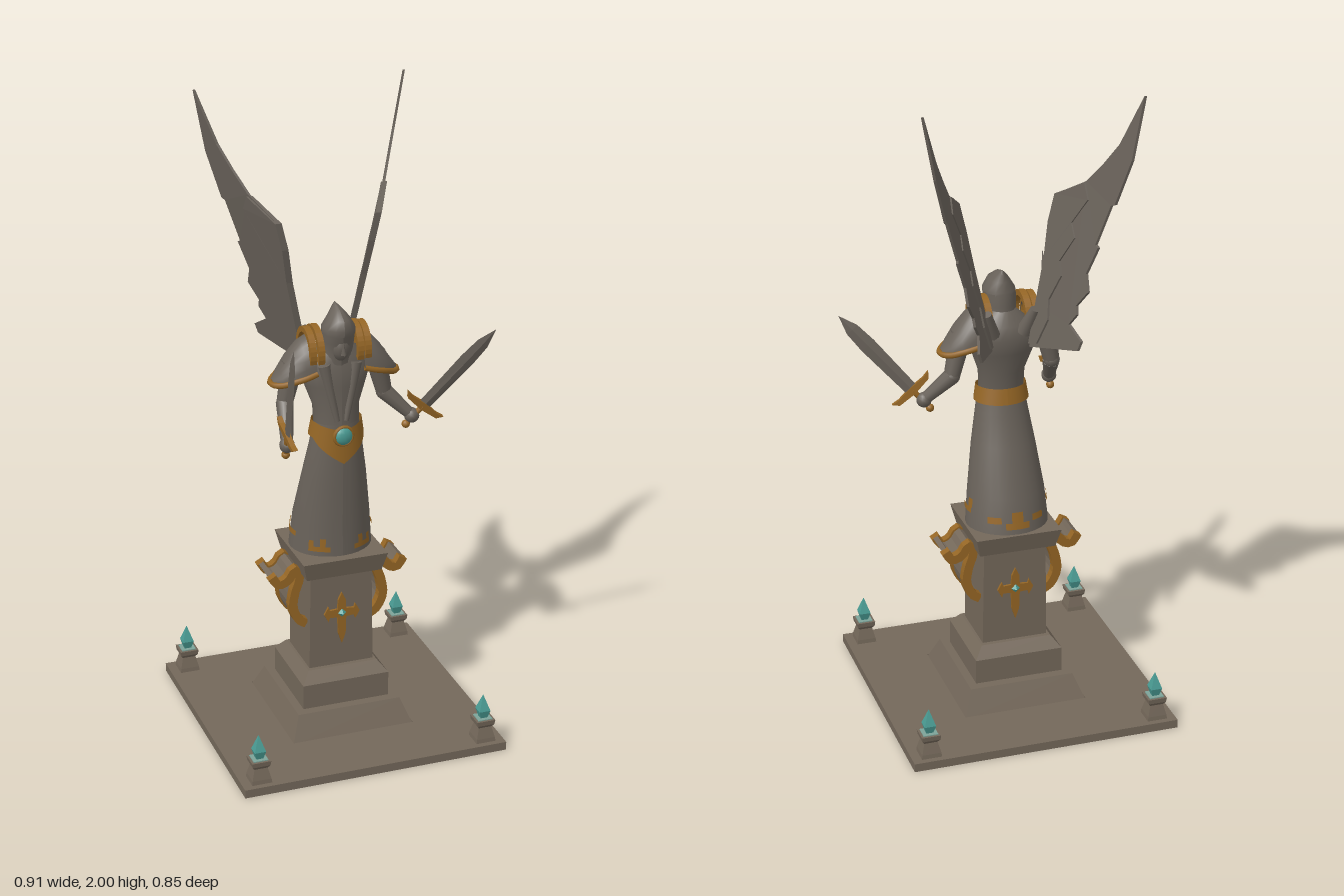
import * as THREE from 'three';

const mat = (name, color) => {
  const m = new THREE.MeshStandardMaterial({ color, side: THREE.DoubleSide });
  m.name = name;
  return m;
};
const V = (x, y, z) => new THREE.Vector3(x, y, z);

// surface from a rule: u runs right, v runs up when seen from outside
function grid(nu, nv, fn, flat = false) {
  const pos = [], idx = [];
  for (let j = 0; j <= nv; j++) for (let i = 0; i <= nu; i++) pos.push(...fn(i / nu, j / nv));
  for (let j = 0; j < nv; j++) for (let i = 0; i < nu; i++) {
    const a = j * (nu + 1) + i, b = a + nu + 1;
    idx.push(a, a + 1, b + 1, a, b + 1, b);
  }
  let g = new THREE.BufferGeometry();
  g.setAttribute('position', new THREE.Float32BufferAttribute(pos, 3));
  g.setIndex(idx);
  if (flat) g = g.toNonIndexed();
  g.computeVertexNormals();
  return g;
}
// rings are [y, centre z, radius x, radius z]
function ringPoint(rings, a, y, grow = 0) {
  let k = 0;
  while (k < rings.length - 2 && y > rings[k + 1][0]) k++;
  const p = rings[k], q = rings[k + 1], t = (y - p[0]) / (q[0] - p[0]);
  const r = p.map((n, i) => n + (q[i] - n) * t);
  return [(r[2] + grow) * Math.sin(a), y, r[1] + (r[3] + grow) * Math.cos(a)];
}
const loft = (rings, n, flat = false, turn = 0) => grid(n, rings.length - 1, (u, v) => {
  const [y, cz, rx, rz] = rings[Math.round(v * (rings.length - 1))];
  const a = u * Math.PI * 2 + turn;
  return [rx * Math.sin(a), y, cz + rz * Math.cos(a)];
}, flat);
// square section tower, rings are [y, half x, half z]
const tower = rings => loft(rings.map(([y, x, z]) => [y, 0, x * Math.SQRT2, z * Math.SQRT2]), 4, true, Math.PI / 4);
const poly = pts => new THREE.Shape(pts.map(p => new THREE.Vector2(...p)));
const extrude = (shape, depth) => new THREE.ExtrudeGeometry(shape, { depth, bevelEnabled: false, curveSegments: 10 });

export function createModel() {
  const stone = mat('pedestal stone', 0x74685a), body = mat('statue stone', 0x69625a);
  const gold = mat('gold', 0x956625), teal = mat('teal crystal', 0x4a9c94), pale = mat('pale teal', 0x7da399);
  const root = new THREE.Group();
  root.name = 'wingedStatue';
  const all = new THREE.Group();
  all.name = 'monument';
  all.position.x = -0.037;
  root.add(all);
  const add = (name, geo, m, parent = all) => {
    const mesh = new THREE.Mesh(geo, m);
    mesh.name = name;
    parent.add(mesh);
    return mesh;
  };
  const limb = (name, a, b, ra, rb, m = body, parent = all) => {
    const d = b.clone().sub(a), mesh = add(name, new THREE.CylinderGeometry(rb, ra, d.length(), 10), m, parent);
    mesh.position.copy(a).addScaledVector(d, 0.5);
    mesh.quaternion.setFromUnitVectors(V(0, 1, 0), d.normalize());
    return mesh;
  };
  const ball = (name, p, r, m, sx = 1, sy = 1, sz = 1, parent = all) => {
    const mesh = add(name, new THREE.SphereGeometry(r, 12, 8), m, parent);
    mesh.position.copy(p);
    mesh.scale.set(sx, sy, sz);
    return mesh;
  };

  // base slab, open under the hollow pedestal
  const slab = poly([[-.425, -.425], [.425, -.425], [.425, .425], [-.425, .425]]);
  slab.holes.push(poly([[-.198, -.21], [-.198, .21], [.198, .21], [.198, -.21]]));
  add('baseSlab', extrude(slab, .027).rotateX(-Math.PI / 2), stone);
  add('pedestal', tower([[.02, .198, .21], [.1, .167, .17], [.1, .141, .14], [.18, .141, .14], [.215, .113, .11],
    [.215, .105, .095], [.53, .1, .095], [.535, .122, .125], [.595, .137, .14], [.595, 0, 0]]), stone);

  // corner lamps
  for (const x of [-.365, .365]) for (const z of [-.375, .375]) {
    const lamp = new THREE.Group();
    lamp.name = 'cornerLamp';
    lamp.position.set(x, 0, z);
    all.add(lamp);
    add('lampStand', tower([[.025, .032, .032], [.04, .03, .03], [.075, .021, .021], [.085, .028, .028], [.1, .03, .03], [.1, 0, 0]]), stone, lamp);
    add('lampDish', new THREE.BoxGeometry(.046, .006, .046), pale, lamp).position.y = .1;
    add('lampFlame', tower([[.1, .01, .01], [.128, .018, .018], [.18, 0, 0]]), teal, lamp);
  }

  // crosses on the column front and back
  for (const s of [1, -1]) {
    const cross = new THREE.Group();
    cross.name = 'columnCross';
    cross.position.set(0, .395, .097 * s);
    all.add(cross);
    const q = [[.014, .014], [.04, .012], [.044, .026], [.058, 0], [.044, -.026], [.04, -.012], [.014, -.014],
      [.012, -.07], [0, -.105], [-.012, -.07], [-.014, -.014], [-.04, -.012], [-.044, -.026], [-.058, 0],
      [-.044, .026], [-.04, .012], [-.014, .014], [-.012, .045], [0, .07], [.012, .045]];
    add('crossPlate', extrude(poly(q), .012).translate(0, 0, -.006), gold, cross);
    const gem = add('crossGem', new THREE.OctahedronGeometry(.014), teal, cross);
    gem.position.z = .006 * s;
  }

  // curled brackets on the column sides
  const path = new THREE.CatmullRomCurve3([V(.215, .535, 0), V(.195, .507, 0), V(.165, .515, 0), V(.14, .548, 0), V(.125, .53, 0),
    V(.142, .47, 0), V(.148, .42, 0), V(.128, .375, 0), V(.105, .36, 0)]).getPoints(18);
  const ribbon = w => {
    const side = k => path.map((p, i) => {
      const t = path[Math.min(i + 1, 18)].clone().sub(path[Math.max(i - 1, 0)]).normalize();
      return [p.x - t.y * k, p.y + t.x * k];
    });
    return poly([...side(w), ...side(-w).reverse()]);
  };
  const halves = [1, -1].map(s => {
    const g = new THREE.Group();
    g.name = s > 0 ? 'leftHalf' : 'rightHalf';
    g.scale.x = s;
    all.add(g);
    return g;
  });
  for (const h of halves) {
    for (const z of [-.07, .043]) add('bracketScroll', extrude(ribbon(.014), .027).translate(0, 0, z), gold, h);
    add('bracketCore', extrude(ribbon(.008), .09).translate(0, 0, -.045), stone, h);
  }

  // robe with gold hem pieces
  const robe = [[.595, -.01, .13, .12], [.7, .0, .121, .108], [.85, .028, .1, .083], [.95, .043, .083, .068], [1.03, .05, .07, .058]];
  add('robe', loft(robe, 28), body);
  const hem = (a0, a1, y0, y1) => add('hemTrim', grid(6, 1, (u, v) =>
    ringPoint(robe, a0 + (a1 - a0) * u, y0 + (y1 - y0) * v, .004)), gold);
  for (const s of [1, -1]) {
    hem(s * .3, s * .85, .612, .628);
    hem(s * .42, s * .56, .628, .655);
    hem(s * .72, s * .85, .628, .648);
    hem(s * 1.3, s * 1.85, .645, .662);
    hem(s * 1.72, s * 1.9, .662, .69);
    hem(s * 2.4, s * 2.75, .63, .65);
  }
  hem(2.85, 3.43, .612, .632);
  hem(3.0, 3.28, .632, .665);

  // belt dipping to a point in front, with a gem
  add('belt', grid(40, 1, (u, v) => {
    const a = (u - .5) * Math.PI * 2, dip = Math.max(0, 1 - Math.abs(a) / 1.25);
    return ringPoint(robe, a, v ? 1.035 - .02 * dip : .985 - .078 * dip, .009);
  }), gold);
  ball('beltGem', V(0, .997, .118), .028, teal, 1, 1, .5);
  const rim = add('gemRing', new THREE.TorusGeometry(.029, .006, 6, 16), gold);
  rim.position.set(0, .997, .116);

  // torso, drape and head
  add('torso', loft([[1, .05, .07, .056], [1.08, .045, .073, .055], [1.15, .036, .098, .067], [1.2, .03, .115, .07],
    [1.24, .03, .088, .06], [1.28, .04, .04, .04]], 24), body);
  for (const h of halves) limb('chestDrape', V(.014, 1.04, .098), V(.05, 1.22, .082), .009, .02, body, h);
  add('hood', loft([[1.2, .045, .07, .05], [1.24, .052, .046, .045], [1.29, .06, .05, .052], [1.33, .066, .05, .054]], 16), body);
  ball('face', V(0, 1.275, .088), .034, body, .85, 1.3, .8);
  add('nose', new THREE.ConeGeometry(.009, .04, 4), body).position.set(0, 1.278, .117);
  add('helmet', loft([[1.315, .068, .05, .056], [1.335, .07, .051, .058], [1.365, .072, .033, .05], [1.388, .055, .014, .028], [1.402, .036, 0, 0]], 12), body);

  // shoulder armour
  const caps = [[.075, 1.31, .068, 1.2], [.11, 1.29, .07, 1.19], [.145, 1.25, .063, 1.18], [.175, 1.205, .045, 1.168], [.197, 1.175, .016, 1.162]];
  const capPoint = (t, k) => {
    const [d, top, rz, low] = caps[k];
    return [d, low + (top - low) * Math.sin(t), .028 + rz * Math.cos(t)];
  };
  const arch = new THREE.Shape();
  arch.absarc(0, 0, .072, -.35, Math.PI + .35, false);
  arch.absarc(0, 0, .055, Math.PI + .35, -.35, true);
  for (const h of halves) {
    add('shoulderPlate', grid(12, 4, (u, v) => capPoint(u * Math.PI, Math.round(v * 4))), body, h);
    const edge = [0, 1, 2, 3, 4].map(k => V(...capPoint(0, k)))
      .concat([4, 3, 2, 1, 0].map(k => V(...capPoint(Math.PI, k))));
    add('shoulderTrim', new THREE.TubeGeometry(new THREE.CatmullRomCurve3(edge), 30, .009, 6), gold, h);
    for (const [d, sc] of [[.052, 1], [.077, .95]]) {
      const band = add('shoulderBand', extrude(arch, .02).rotateY(Math.PI / 2), gold, h);
      band.position.set(d, 1.255, .03);
      band.scale.set(1, sc * 1.08, sc);
    }
  }

  // arms
  const arm = (name, s, e, w) => {
    limb(name + 'UpperArm', s, e, .034, .025);
    ball(name + 'Elbow', e, .026, body);
    limb(name + 'Forearm', e, w, .027, .018);
    ball(name + 'Hand', w, .024, body);
  };
  arm('left', V(.13, 1.22, .03), V(.165, 1.085, .02), V(.245, 1.005, .05));
  arm('right', V(-.13, 1.22, .03), V(-.157, 1.095, .03), V(-.184, 1.0, .13));

  // swords, built upright then aimed
  const sword = (name, at, tip, hint) => {
    const g = new THREE.Group(), y = tip.clone().sub(at), len = y.length();
    g.name = name;
    y.normalize();
    const x = hint.clone().addScaledVector(y, -hint.dot(y)).normalize();
    g.quaternion.setFromRotationMatrix(new THREE.Matrix4().makeBasis(x, y, x.clone().cross(y)));
    g.position.copy(at);
    all.add(g);
    add('blade', loft([[0, 0, .02, .006], [.2, 0, .025, .006], [len - .06, 0, .021, .005], [len, 0, 0, 0]], 4, true), body, g);
    add('guard', extrude(poly([[-.075, .012], [-.06, -.006], [0, -.012], [.06, -.006], [.075, .012], [.05, .008], [0, .012], [-.05, .008]]), .016)
      .translate(0, 0, -.008), gold, g);
    limb('grip', V(0, -.075, 0), V(0, 0, 0), .008, .009, gold, g);
    ball('pommel', V(0, -.078, 0), .013, gold, 1, 1, 1, g);
  };
  sword('leftSword', V(.277, 1.035, .062), V(.487, 1.28, .125), V(1, -1, 0));
  sword('rightSword', V(-.192, 1.04, .155), V(-.213, 1.36, .285), V(0, 0, 1));

  // wings: outline in (z, y), swept outward by a rule
  const outline = [[-.05, 1.18], [-.04, 1.31], [-.03, 1.45], [-.012, 1.56], [-.012, 1.645], [-.115, 1.71], [-.165, 1.775], [-.21, 1.845],
    [-.265, 2], [-.265, 1.81], [-.235, 1.67], [-.222, 1.665], [-.2, 1.54], [-.212, 1.535], [-.192, 1.45], [-.215, 1.4],
    [-.185, 1.35], [-.195, 1.325], [-.175, 1.29], [-.235, 1.255], [-.23, 1.225], [-.15, 1.205]];
  const covert = [[-.05, 1.19], [-.04, 1.31], [-.03, 1.45], [-.012, 1.56], [-.012, 1.645], [-.115, 1.705], [-.14, 1.66],
    [-.1, 1.58], [-.125, 1.54], [-.09, 1.46], [-.11, 1.42], [-.085, 1.34], [-.1, 1.28], [-.08, 1.2]];
  const sweep = (pts, thick) => {
    const g = extrude(poly(pts), thick), p = g.attributes.position;
    for (let i = 0; i < p.count; i++) {
      const z = p.getX(i), y = p.getY(i), bend = Math.max(0, (y - 1.65) / .35);
      p.setXYZ(i, .045 + .24 * (y - 1.2) - .43 * z - .02 * bend + p.getZ(i) - thick / 2, y, z);
    }
    g.computeVertexNormals();
    return g;
  };
  for (const h of halves) {
    add('wing', sweep(outline, .008), body, h);
    add('wingCovert', sweep(covert, .02), body, h);
    limb('wingRoot', V(.05, 1.22, -.02), V(.075, 1.3, -.05), .025, .014, body, h);
  }
  return root;
}
